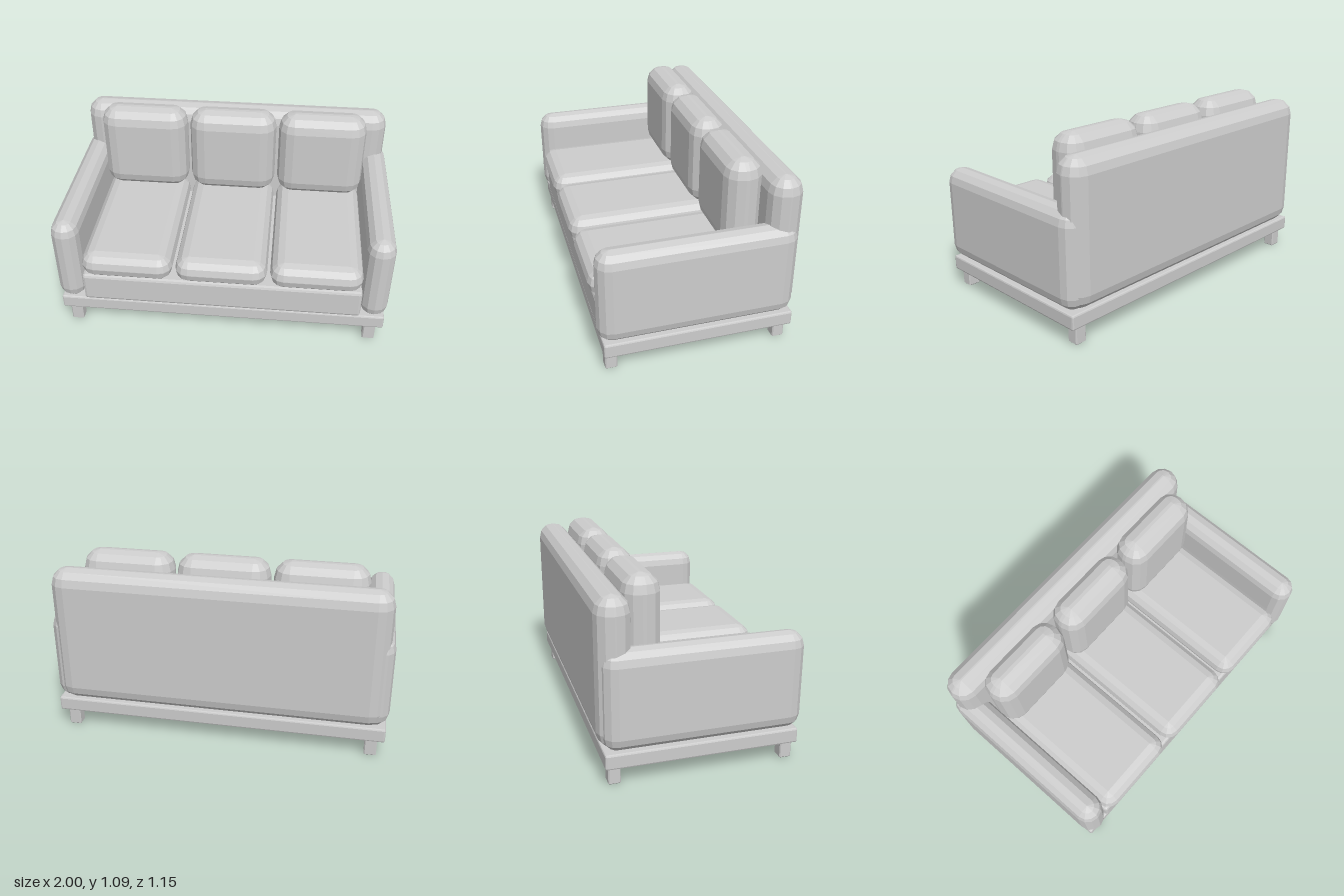
import * as THREE from 'three';

const fabric = new THREE.MeshStandardMaterial({ color: 0xcccccc });
fabric.name = 'light grey';

// Faceted box with rounded edges: a coarse sphere pulled apart into eight corners
function bevelBox(w, h, d, r, seg = 3) {
  const hx = w / 2 - r, hy = h / 2 - r, hz = d / 2 - r;
  const cols = 4 * (seg + 1), rows = 2 * (seg + 1);
  const step = Math.PI / 2 / seg;
  const pos = [], index = [];
  for (let j = 0; j < rows; j++) {
    const upper = j > seg;
    const lat = (upper ? j - seg - 1 : j - seg) * step;
    for (let i = 0; i < cols; i++) {
      const quad = Math.floor(i / (seg + 1));
      const lon = quad * Math.PI / 2 + (i % (seg + 1)) * step;
      const sx = quad === 0 || quad === 3 ? 1 : -1;
      const sz = quad < 2 ? 1 : -1;
      pos.push(
        sx * hx + r * Math.cos(lat) * Math.cos(lon),
        (upper ? hy : -hy) + r * Math.sin(lat),
        sz * hz + r * Math.cos(lat) * Math.sin(lon));
    }
  }
  for (let j = 0; j < rows - 1; j++) {
    for (let i = 0; i < cols; i++) {
      const a = j * cols + i, b = j * cols + (i + 1) % cols;
      const c = a + cols, e = b + cols;
      if (j > 0) index.push(a, e, b);
      else if (i % (seg + 1) === seg) index.push(a, e, b);
      if (j < rows - 2 || i % (seg + 1) === seg) index.push(a, c, e);
    }
  }
  // flat caps on the top and bottom
  const q = seg + 1, t = (rows - 1) * cols;
  index.push(0, q, 2 * q, 0, 2 * q, 3 * q);
  index.push(t, t + 2 * q, t + q, t, t + 3 * q, t + 2 * q);
  const indexed = new THREE.BufferGeometry();
  indexed.setAttribute('position', new THREE.Float32BufferAttribute(pos, 3));
  indexed.setIndex(index);
  const geometry = indexed.toNonIndexed();
  geometry.computeVertexNormals();
  return geometry;
}

export function createModel() {
  const sofa = new THREE.Group();
  sofa.name = 'sofa';

  // Adds a rounded block spanning the given ranges
  const block = (name, [x0, x1], [y0, y1], [z0, z1], r, seg) => {
    const mesh = new THREE.Mesh(bevelBox(x1 - x0, y1 - y0, z1 - z0, r, seg), fabric);
    mesh.position.set((x0 + x1) / 2, (y0 + y1) / 2, (z0 + z1) / 2);
    mesh.name = name;
    sofa.add(mesh);
  };

  // Plinth, seat base and backrest
  block('plinth', [-0.987, 0.987], [0.11, 0.197], [-0.55, 0.54], 0.01, 2);
  block('seatBase', [-0.84, 0.84], [0.197, 0.385], [-0.5, 0.545], 0.018, 2);
  block('backrest', [-0.975, 0.975], [0.197, 1.033], [-0.576, -0.383], 0.092);

  // Arms and legs, mirrored
  for (const side of [-1, 1]) {
    const label = side > 0 ? 'left' : 'right';
    const span = (a, b) => side > 0 ? [a, b] : [-b, -a];
    block(label + 'Arm', span(0.835, 1), [0.197, 0.757], [-0.555, 0.565], 0.081);
    block(label + 'FrontLeg', span(0.873, 0.945), [0, 0.115], [0.46, 0.528], 0.006, 1);
    block(label + 'BackLeg', span(0.873, 0.945), [0, 0.115], [-0.527, -0.459], 0.006, 1);
  }

  // Three seat and back cushions
  ['right', 'middle', 'left'].forEach((label, i) => {
    const x = (i - 1) * 0.564;
    const range = [x - 0.273, x + 0.273];
    block(label + 'SeatCushion', range, [0.38, 0.545], [-0.39, 0.574], 0.081);
    block(label + 'BackCushion', range, [0.537, 1.092], [-0.4, -0.185], 0.097);
  });

  return sofa;
}
